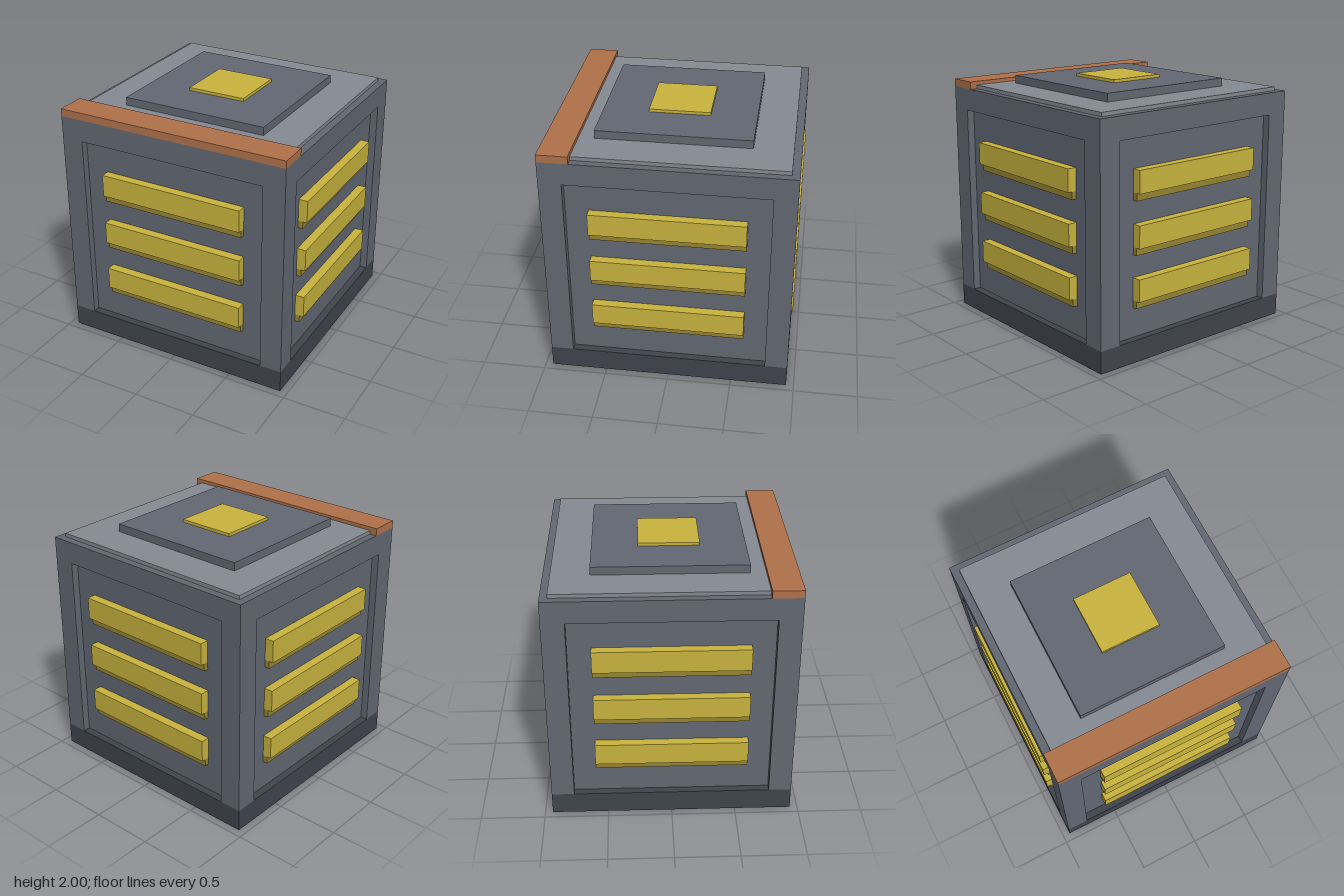
import * as THREE from 'three';

const mat = (name, color) => {
  const m = new THREE.MeshStandardMaterial({ color });
  m.name = name;
  return m;
};

export function createModel() {
  const model = new THREE.Group();
  model.name = 'ventedCrate';

  const steel = mat('steel grey', 0x626873);
  const dark = mat('dark grey', 0x40444d);
  const light = mat('light grey', 0x868a93);
  const yellow = mat('yellow', 0xc9b43e);
  const olive = mat('dark yellow', 0x968432);
  const copper = mat('copper', 0xb0724a);

  // Box given by its extents on each axis
  const box = (parent, name, material, [x0, x1], [y0, y1], [z0, z1]) => {
    const mesh = new THREE.Mesh(new THREE.BoxGeometry(x1 - x0, y1 - y0, z1 - z0), material);
    mesh.position.set((x0 + x1) / 2, (y0 + y1) / 2, (z0 + z1) / 2);
    mesh.name = name;
    parent.add(mesh);
  };
  const span = (h) => [-h, h];

  const OUT = 0.941, CORE = 0.882, POST = 0.765;
  const BASE = 0.176, PANEL = 1.706, TOP = 1.882;

  // Body: base, recessed core, corner posts and top slab
  box(model, 'base', dark, span(OUT), [0, BASE], span(OUT));
  box(model, 'core', steel, span(CORE), [BASE, PANEL], span(CORE));
  box(model, 'topFrame', steel, span(OUT), [PANEL, TOP], span(OUT));
  for (const sx of [-1, 1]) {
    for (const sz of [-1, 1]) {
      const range = (s) => (s > 0 ? [POST, OUT] : [-OUT, -POST]);
      box(model, 'cornerPost', steel, range(sx), [BASE, PANEL], range(sz));
    }
  }

  // Three slats with a set-back lower strip on each of the four sides
  for (let side = 0; side < 4; side++) {
    const vents = new THREE.Group();
    vents.name = 'sideVents';
    vents.rotation.y = (side * Math.PI) / 2;
    for (let i = 0; i < 3; i++) {
      const y = 0.471 + i * 0.412;
      box(vents, 'slat', yellow, span(0.588), [y, y + 0.176], [CORE, 0.953]);
      box(vents, 'slatLowerStrip', olive, span(0.588), [y - 0.059, y], [CORE, 0.92]);
    }
    model.add(vents);
  }

  // Stacked lid plates and front rail
  box(model, 'lidPlate', light, span(CORE), [TOP, 1.912], [-CORE, 0.706]);
  box(model, 'lidStep', steel, span(0.588), [1.912, 1.976], span(0.588));
  box(model, 'lidButton', yellow, span(0.235), [1.976, 2], span(0.235));
  box(model, 'frontRail', copper, span(OUT), [TOP, 1.941], [0.706, OUT]);

  return model;
}
